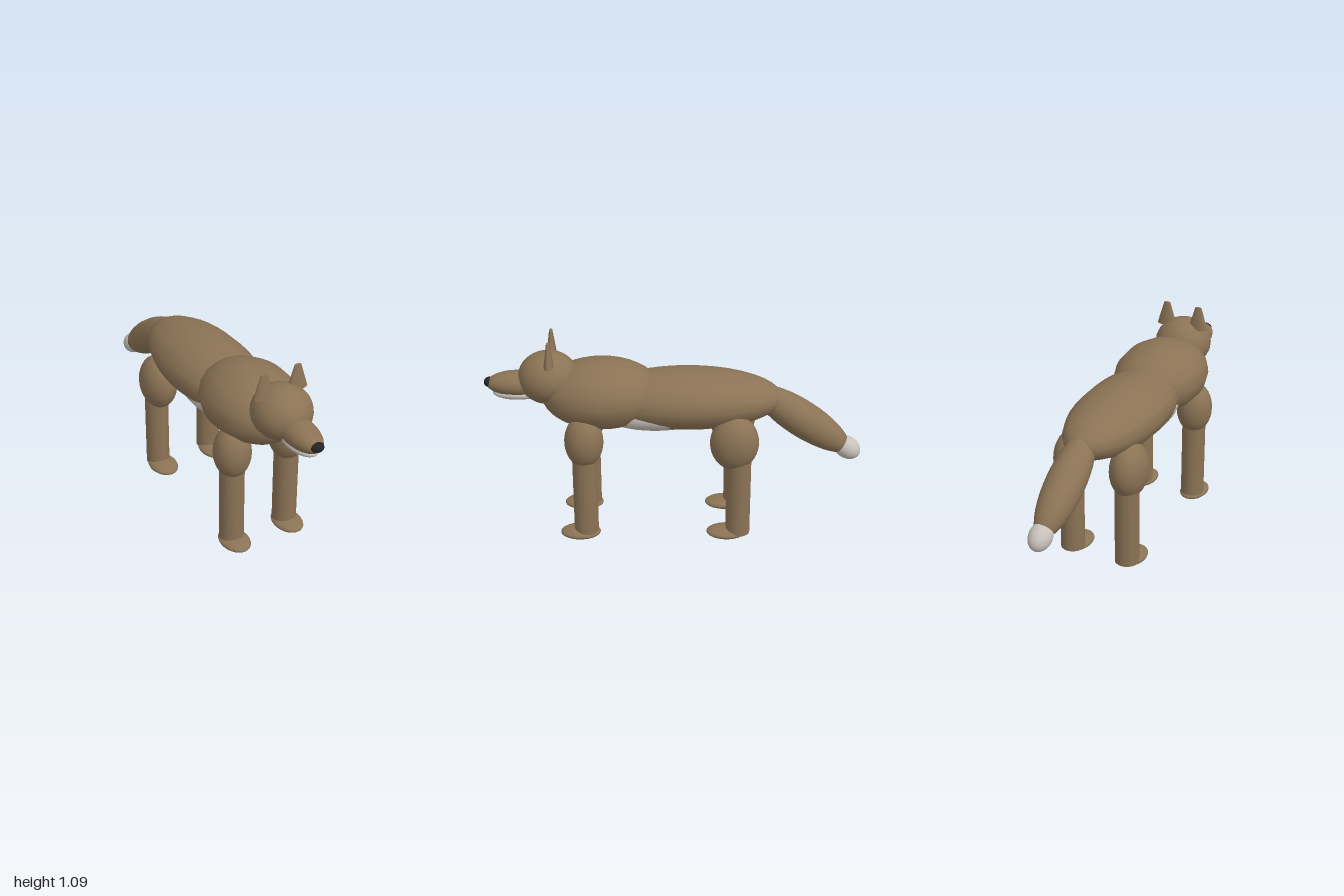
import * as THREE from 'three';

export function createModel() {
  const mat = (name, color) => {
    const m = new THREE.MeshStandardMaterial({ color });
    m.name = name;
    return m;
  };
  const fur = mat('brown fur', 0x8b7355);
  const pale = mat('pale fur', 0xc8c2bb);
  const dark = mat('dark nose', 0x222426);

  const root = new THREE.Group();
  root.name = 'canine';

  const add = (name, geometry, material, position, parent = root) => {
    const mesh = new THREE.Mesh(geometry, material);
    mesh.name = name;
    mesh.position.set(...position);
    parent.add(mesh);
    return mesh;
  };
  // Ellipsoid with its poles along z
  const ellipsoid = (name, material, position, radii, tilt = 0, sides = 24, parent = root) => {
    const g = new THREE.SphereGeometry(1, sides, 20);
    g.rotateX(Math.PI / 2).scale(...radii);
    const mesh = add(name, g, material, position, parent);
    mesh.rotation.x = tilt;
    return mesh;
  };

  // Trunk
  ellipsoid('body', fur, [0, 0.752, -0.07], [0.23, 0.158, 0.5], 0, 16);
  ellipsoid('chest', fur, [0, 0.78, 0.38], [0.245, 0.185, 0.32], 0, 16);
  ellipsoid('belly', pale, [0, 0.697, 0.1], [0.195, 0.107, 0.33], 0, 16);

  // Head
  const head = new THREE.Group();
  head.name = 'head';
  root.add(head);
  ellipsoid('skull', fur, [0, 0.87, 0.66], [0.155, 0.14, 0.158], 0, 24, head);
  ellipsoid('muzzle', fur, [0, 0.835, 0.82], [0.083, 0.066, 0.165], 0, 24, head);
  ellipsoid('jaw', pale, [0, 0.785, 0.82], [0.07, 0.035, 0.135], 0, 24, head);
  ellipsoid('nose', dark, [0, 0.841, 0.97], [0.035, 0.026, 0.028], 0, 16, head);

  // Tail slopes down and back
  const slope = -0.605;
  ellipsoid('tail', fur, [0, 0.625, -0.68], [0.1, 0.098, 0.31], slope);
  ellipsoid('tailTip', pale, [0, 0.456, -0.926], [0.06, 0.06, 0.08], slope);

  for (const [side, s] of [['left', 1], ['right', -1]]) {
    // Flattened, blunt ears
    const ear = new THREE.CylinderGeometry(0.0185, 0.0575, 0.128, 16);
    ear.scale(1, 1, 0.46);
    add(side + 'Ear', ear, fur, [0.095 * s, 1.031, 0.645], head);

    // Legs: upper muscle, straight shank and flat paw
    const legs = [
      { name: 'Front', z: 0.473, upperZ: 0.473, upperY: 0.574, upper: [0.098, 0.146, 0.102], pawZ: 0.505 },
      { name: 'Rear', z: -0.34, upperZ: -0.314, upperY: 0.565, upper: [0.098, 0.153, 0.128], pawZ: -0.28 },
    ];
    for (const l of legs) {
      const leg = new THREE.Group();
      leg.name = side + l.name + 'Leg';
      root.add(leg);
      const x = 0.163 * s;
      ellipsoid('upperLeg', fur, [x, l.upperY, l.upperZ], l.upper, 0, 24, leg);
      add('shank', new THREE.CylinderGeometry(0.065, 0.065, 0.52, 20), fur, [x, 0.29, l.z], leg);
      ellipsoid('paw', fur, [x, 0.03, l.pawZ], [0.077, 0.028, 0.107], 0, 24, leg);
    }
  }
  return root;
}
